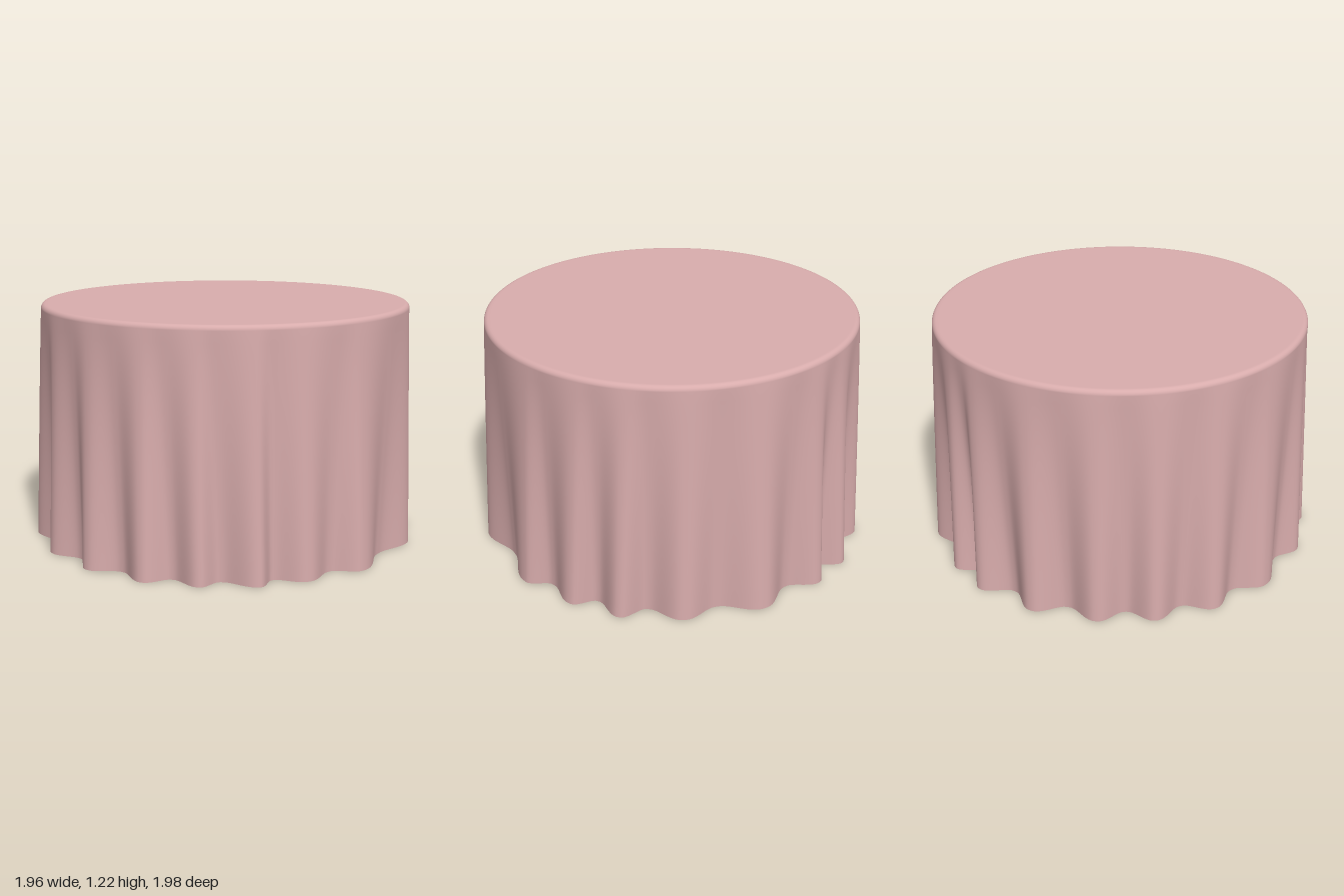
import * as THREE from 'three';

const TOP = 1.215, R = 0.945, CZ = -0.008, SEG = 456, EDGE = 0.025;

// Fold crests at the hem: angle from the front (degrees), radius,
// and where the next valley sits between this crest and the following one.
const FOLDS = [
  [1.7, 0.99, 0.45], [18, 0.985, 0.33], [34.6, 0.99, 0.33], [48.6, 0.98, 0.55],
  [67, 0.995, 0.5], [98.5, 0.985, 0.4], [116.6, 0.985, 0.42], [132, 0.998, 0.4],
  [150, 0.99, 0.45], [173.7, 1.0, 0.55], [195, 0.998, 0.5], [208, 1.005, 0.5],
  [227, 0.998, 0.5], [246.3, 0.99, 0.5], [263, 0.99, 0.5], [281, 0.99, 0.5],
  [300.3, 0.99, 0.62], [323, 0.985, 0.55], [342.3, 0.985, 0.5],
];

// Hem radius at an angle: eased waves between crests and valleys
function hemRadius(deg) {
  const n = FOLDS.length;
  const d = deg < FOLDS[0][0] ? deg + 360 : deg;
  let i = n - 1;
  while (FOLDS[i][0] > d) i--;
  const [a, r, f] = FOLDS[i];
  const next = FOLDS[(i + 1) % n];
  const b = next[0] + (i === n - 1 ? 360 : 0);
  const u = (d - a) / (b - a);
  const valley = 0.905;
  const s = u < f ? u / f : (1 - u) / (1 - f);
  const crest = u < f ? r : next[1];
  return THREE.MathUtils.lerp(crest, valley, THREE.MathUtils.smoothstep(s, 0.05, 0.95));
}

// One closed cloth surface: flat top, rounded rim, then the hanging folds
function clothGeometry() {
  const rings = [];
  for (const r of [0.3, 0.7, R - EDGE - 0.01]) rings.push({ y: TOP, r, t: 0 });
  for (let k = 0; k <= 5; k++) {
    const q = (k / 5) * Math.PI / 2;
    rings.push({ y: TOP - EDGE * (1 - Math.cos(q)), r: R - EDGE * (1 - Math.sin(q)), t: 0 });
  }
  const yRim = TOP - EDGE, rows = 20;
  for (let k = 1; k <= rows; k++) rings.push({ y: yRim * (1 - k / rows), r: R, t: k / rows });

  const pos = [0, TOP, CZ], index = [];
  for (const { y, r, t } of rings) {
    for (let j = 0; j < SEG; j++) {
      const deg = (j / SEG) * 360;
      const radius = r + (hemRadius(deg) - R) * Math.pow(t, 0.9);
      // folds lean slightly as they fall
      const lean = -0.035 * (1 - t) * Math.sin(2.0 * deg * Math.PI / 180 + 0.8);
      const a = deg * Math.PI / 180 + lean;
      pos.push(Math.sin(a) * radius, y, Math.cos(a) * radius + CZ * (1 - t));
    }
  }
  for (let j = 0; j < SEG; j++) {
    const j2 = (j + 1) % SEG;
    index.push(0, 1 + j, 1 + j2);
    for (let i = 0; i < rings.length - 1; i++) {
      const a = 1 + i * SEG + j, b = 1 + i * SEG + j2;
      index.push(a, a + SEG, b, b, a + SEG, b + SEG);
    }
  }
  const g = new THREE.BufferGeometry();
  g.setAttribute('position', new THREE.Float32BufferAttribute(pos, 3));
  g.setIndex(index);
  g.computeVertexNormals();
  return g;
}

export function createModel() {
  const fabric = new THREE.MeshStandardMaterial({ color: 0xd8acac, side: THREE.DoubleSide });
  fabric.name = 'dusty pink fabric';
  const cloth = new THREE.Mesh(clothGeometry(), fabric);
  cloth.name = 'tablecloth';
  const group = new THREE.Group();
  group.name = 'roundTablecloth';
  group.add(cloth);
  return group;
}
